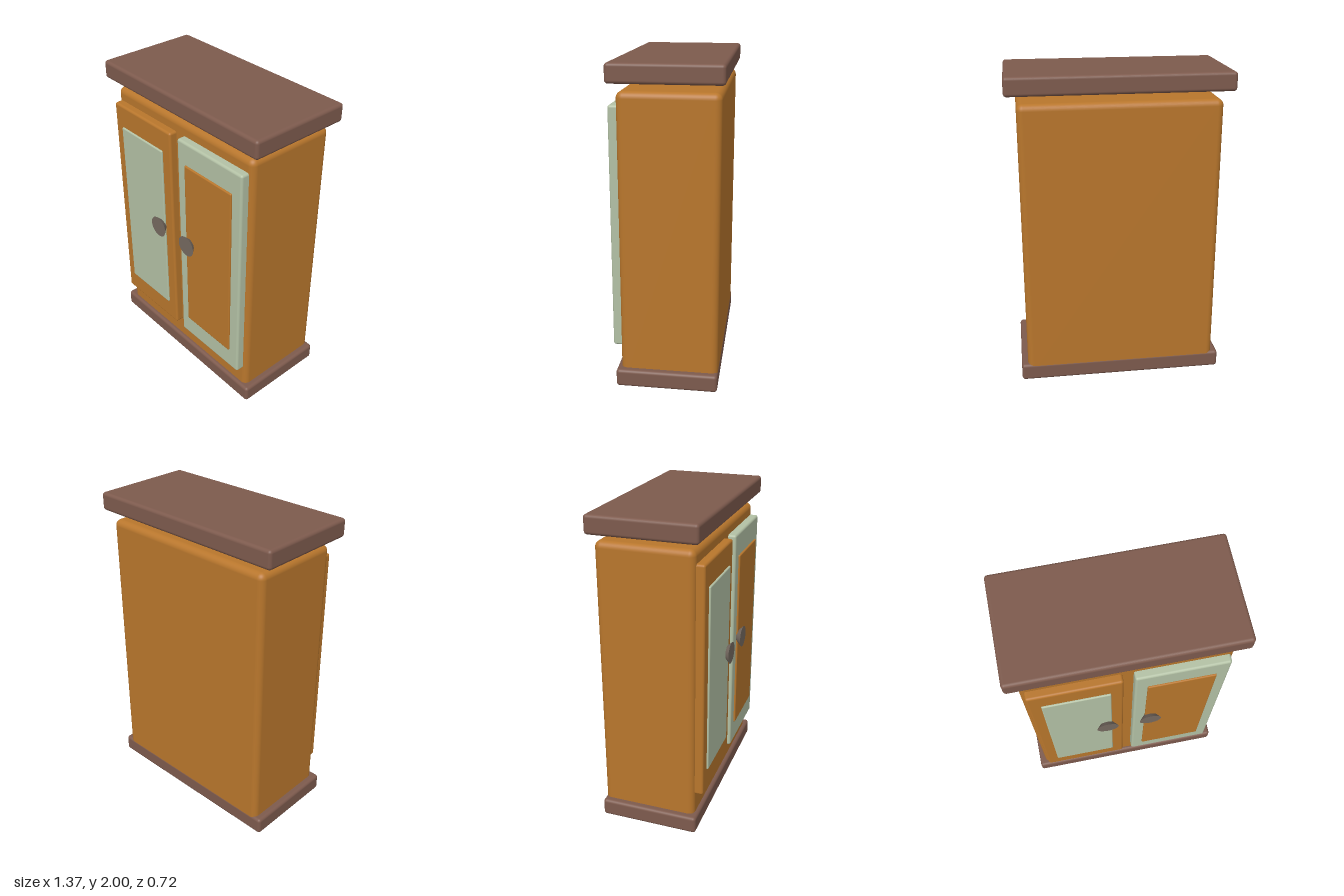
import * as THREE from 'three';
import { RoundedBoxGeometry } from 'three/addons/geometries/RoundedBoxGeometry.js';

export function createModel() {
  const group = new THREE.Group();
  group.name = 'wardrobe';

  const material = (name, color) => {
    const m = new THREE.MeshStandardMaterial({ color });
    m.name = name;
    return m;
  };
  const wood = material('honey wood', 0xb8762c);
  const brown = material('dark brown wood', 0x7d5a4d);
  const sage = material('sage paint', 0xb3c1a5);
  const metal = material('knob metal', 0x756960);

  // Rounded box given by its extents along each axis
  function box(name, mat, [x0, x1], [y0, y1], [z0, z1], radius) {
    const geo = new RoundedBoxGeometry(x1 - x0, y1 - y0, z1 - z0, 4, radius);
    const mesh = new THREE.Mesh(geo, mat);
    mesh.name = name;
    mesh.position.set((x0 + x1) / 2, (y0 + y1) / 2, (z0 + z1) / 2);
    group.add(mesh);
  }

  // Carcass, plinth and floating top board
  box('body', wood, [-0.618, 0.614], [0.03, 1.835], [-0.333, 0.27], 0.04);
  box('plinth', brown, [-0.66, 0.655], [0, 0.112], [-0.335, 0.295], 0.02);
  box('topBoard', brown, [-0.685, 0.682], [1.885, 2], [-0.356, 0.313], 0.02);

  // Doors with contrasting inset panels and flared knobs
  const doors = [
    { side: 'right', x: -0.312, frame: wood, panel: sage, knobX: -0.142 },
    { side: 'left', x: 0.308, frame: sage, panel: wood, knobX: 0.136 },
  ];
  for (const { side, x, frame, panel, knobX } of doors) {
    box(side + 'Door', frame, [x - 0.277, x + 0.277], [0.25, 1.753], [0.24, 0.321], 0.015);
    box(side + 'DoorPanel', panel, [x - 0.203, x + 0.203], [0.398, 1.606], [0.3, 0.332], 0.008);

    const knob = new THREE.Mesh(new THREE.CylinderGeometry(0.07, 0.028, 0.045, 32), metal);
    knob.name = side + 'Knob';
    knob.rotation.x = Math.PI / 2;
    knob.position.set(knobX, 1.043, 0.3365);
    group.add(knob);
  }
  return group;
}
